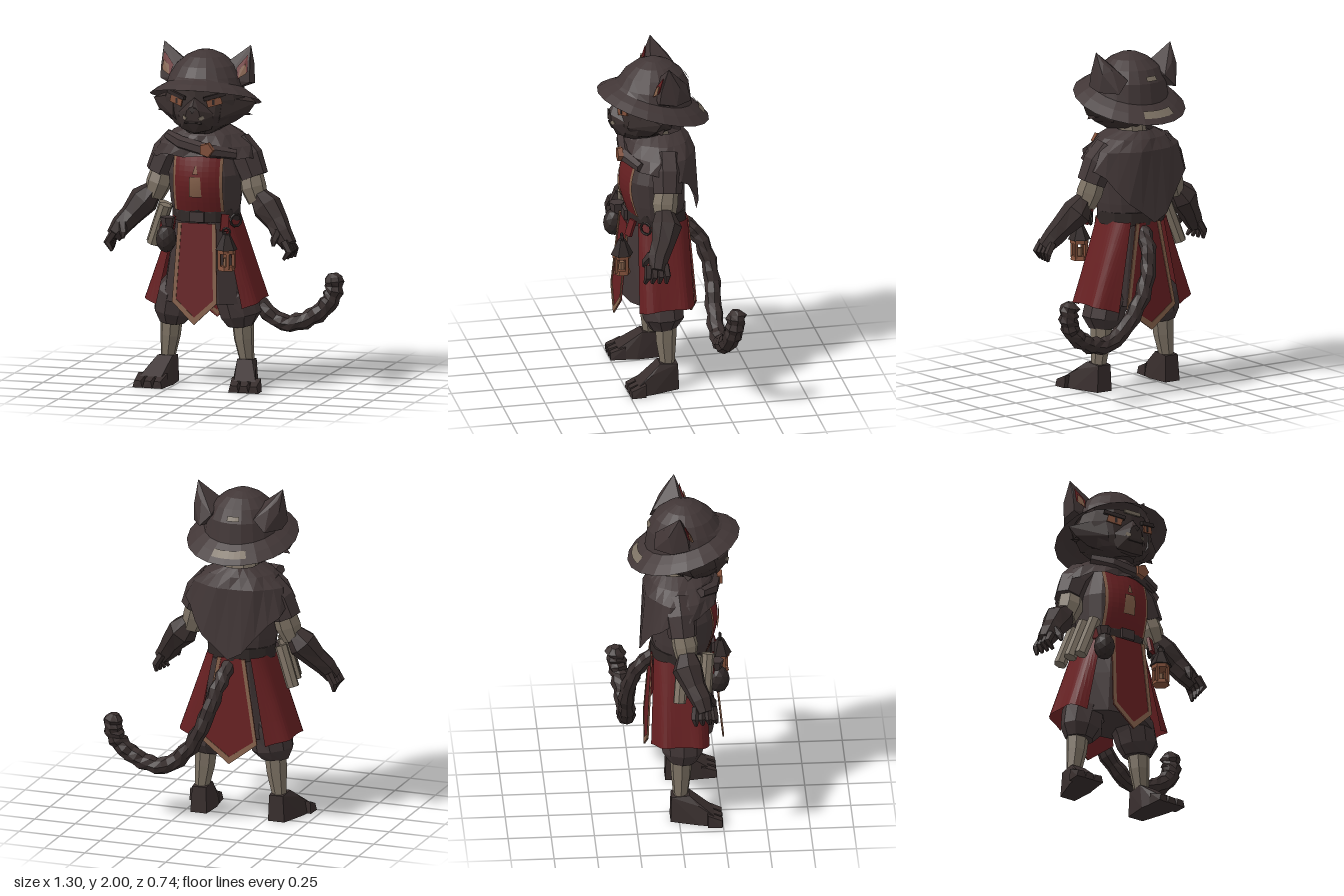
import * as THREE from 'three';
import { ConvexGeometry } from 'three/addons/geometries/ConvexGeometry.js';
import { ParametricGeometry } from 'three/addons/geometries/ParametricGeometry.js';

const mat = (name, color) =>
  new THREE.MeshStandardMaterial({ name, color, flatShading: true, side: THREE.DoubleSide });
const cloth = mat('dark cloth', 0x413636);
const fur = mat('dark fur', 0x382e2d);
const black = mat('shadow brown', 0x302827);
const red = mat('red cloth', 0x661f21);
const trim = mat('tan trim', 0x84604a);
const wrap = mat('linen wrap', 0x7d7264);
const leather = mat('orange leather', 0x83513b);

const V = (p) => new THREE.Vector3(p[0], p[1], p[2]);

// Closed skin over rings of equal point count, with both ends capped
function loft(rings) {
  const n = rings[0].length, pos = [], idx = [];
  rings.flat().forEach((p) => pos.push(p.x, p.y, p.z));
  for (let j = 0; j < rings.length - 1; j++)
    for (let i = 0; i < n; i++) {
      const a = j * n + i, b = j * n + (i + 1) % n;
      idx.push(a, b, a + n, b, b + n, a + n);
    }
  const last = (rings.length - 1) * n;
  for (let i = 1; i < n - 1; i++) idx.push(0, i + 1, i, last, last + i, last + i + 1);
  const g = new THREE.BufferGeometry();
  g.setAttribute('position', new THREE.Float32BufferAttribute(pos, 3));
  g.setIndex(idx);
  g.computeVertexNormals();
  return g;
}

// Limb through points [x, y, z, radius]
function limb(pts, n = 7, rough = 0) {
  return loft(pts.map((p, j) => {
    const t = V(pts[Math.min(j + 1, pts.length - 1)]).sub(V(pts[Math.max(j - 1, 0)])).normalize();
    const a = new THREE.Vector3().crossVectors(t, new THREE.Vector3(0, 0, 1)).normalize();
    const b = new THREE.Vector3().crossVectors(t, a);
    return Array.from({ length: n }, (_, i) => {
      const w = i / n * Math.PI * 2, r = p[3] * (1 + rough * Math.sin(i * 5.3 + j * 2.7));
      return V(p).addScaledVector(a, r * Math.cos(w)).addScaledVector(b, r * Math.sin(w));
    });
  }));
}

// Body shape from horizontal ellipses [y, half width, back z, front z]
const stack = (rows, n = 12) => loft(rows.map(([y, rx, zb, zf]) =>
  Array.from({ length: n }, (_, i) => {
    const w = i / n * Math.PI * 2;
    return new THREE.Vector3(rx * Math.sin(w), y, (zb + zf) / 2 + (zf - zb) / 2 * Math.cos(w));
  })));

const hull = (pts) => new ConvexGeometry(pts.map(V));
const sheet = (f, nu, nv) => new ParametricGeometry((u, v, t) => t.set(...f(u, v)), nu, nv);
const round = (x) => Math.sign(x) * Math.abs(x) ** 0.65;

export function createModel() {
  const root = new THREE.Group();
  root.name = 'catAdventurer';
  const body = new THREE.Group();
  body.name = 'body';
  body.position.x = -0.08;
  root.add(body);
  const add = (name, geo, m, p = [0, 0, 0], r = [0, 0, 0], parent = body) => {
    const o = new THREE.Mesh(geo, m);
    o.name = name;
    o.position.set(...p);
    o.rotation.set(...r);
    parent.add(o);
    return o;
  };
  const box = (x, y, z) => new THREE.BoxGeometry(x, y, z);
  const cyl = (a, b, h, n = 6) => new THREE.CylinderGeometry(a, b, h, n);

  // Head and muzzle
  add('head', stack([[1.5, 0.08, 0, 0.23], [1.55, 0.17, -0.05, 0.25], [1.61, 0.22, -0.11, 0.26],
    [1.7, 0.24, -0.14, 0.255], [1.78, 0.21, -0.13, 0.25]]), fur);
  const muzzle = [[0, 1.72, 0.265], [0, 1.675, 0.3], [0, 1.5, 0.2], [0, 1.51, 0.26]];
  for (const s of [-1, 1]) muzzle.push([s * 0.035, 1.65, 0.3], [s * 0.05, 1.59, 0.297],
    [s * 0.12, 1.62, 0.22], [s * 0.09, 1.53, 0.23]);
  add('muzzle', hull(muzzle), fur);
  add('nose', hull([[-0.025, 1.665, 0.305], [0.025, 1.665, 0.305], [0, 1.63, 0.31], [0, 1.67, 0.28]]), black);
  add('mouth', box(0.1, 0.008, 0.008), black, [0, 1.575, 0.293]);
  add('foreheadBand', box(0.11, 0.022, 0.01), wrap, [0, 1.768, 0.258]);

  // Hat: a lathe whose brim rises at the front while the crown stays level
  const lathe = (pts, n, a, l) => {
    const g = new THREE.LatheGeometry(pts.map((p) => new THREE.Vector2(...p)), n, a, l), q = g.attributes.position;
    for (let i = 0; i < q.count; i++) {
      const y = q.getY(i), z = q.getZ(i);
      q.setXYZ(i, q.getX(i), y + 0.286 * z * THREE.MathUtils.clamp((1.83 - y) / 0.07, 0, 1), z + 0.043);
    }
    return g;
  };
  add('hat', lathe([[0.325, 1.685], [0.275, 1.725], [0.225, 1.757], [0.209, 1.82], [0.17, 1.885],
    [0.11, 1.935], [0.05, 1.962], [0, 1.97]], 20), cloth);
  add('brimPatch', lathe([[0.3, 1.712], [0.265, 1.74]], 6, Math.PI - 0.3, 0.72), wrap);
  add('crownPatch', lathe([[0.212, 1.828], [0.197, 1.852]], 3, Math.PI - 0.1, 0.35), wrap);

  for (const s of [-1, 1]) {
    const m = (pts) => pts.map(([x, y, z, r]) => [x * s, y, z, r]);
    // Ears, eyes and cheeks
    add('ear', hull(m([[0.262, 2, 0.005], [0.27, 1.79, 0.06], [0.125, 1.8, 0.075], [0.13, 1.9, 0.03],
      [0.17, 1.74, 0.06], [0.2, 1.77, -0.14], [0.13, 1.84, -0.13], [0.268, 1.86, 0.05], [0.262, 1.92, 0.035],
      [0.262, 1.88, -0.06], [0.272, 1.77, -0.04], [0.21, 1.9, -0.085], [0.245, 1.94, -0.045]])), cloth);
    const earPlate = (name, pts, mt) => add(name, hull(m(pts)), mt);
    earPlate('innerEar', [[0.252, 1.945, 0.035], [0.258, 1.85, 0.064], [0.205, 1.81, 0.084],
      [0.19, 1.87, 0.06], [0.22, 1.87, 0.03]], red);
    earPlate('earFluff', [[0.25, 1.9, 0.06], [0.253, 1.84, 0.074], [0.21, 1.815, 0.088], [0.215, 1.87, 0.07], [0.23, 1.85, 0.05]], trim);
    add('eye', box(0.088, 0.04, 0.008), leather, [s * 0.115, 1.695, 0.247], [0, s * 0.42, s * 0.25]);
    add('pupil', box(0.014, 0.03, 0.008), black, [s * 0.11, 1.695, 0.252], [0, s * 0.42, 0]);
    add('brow', box(0.13, 0.022, 0.02), black, [s * 0.115, 1.73, 0.245], [0, s * 0.42, s * 0.25]);
    add('whiskerPad', box(0.03, 0.02, 0.008), wrap, [s * 0.05, 1.605, 0.291], [0, s * 0.6, s * 0.5]);
    add('cheek', hull(m([[0.31, 1.675, 0.06], [0.275, 1.62, 0.08], [0.2, 1.565, 0.1], [0.1, 1.52, 0.17],
      [0.15, 1.72, 0.2], [0.14, 1.6, 0.225], [0.2, 1.72, -0.04], [0.16, 1.58, -0.03]])), fur);
    add('cheekTuft', hull(m([[0.29, 1.6, 0.05], [0.2, 1.65, 0.14], [0.19, 1.6, 0.12], [0.18, 1.62, 0]])), fur);

    // Arm: sleeve, elbow wrap, forearm and fingers
    add('sleeve', limb(m([[0.17, 1.42, 0, 0.09], [0.24, 1.34, 0.01, 0.095], [0.285, 1.23, 0.02, 0.085]])), cloth);
    add('elbowWrap', limb(m([[0.265, 1.25, 0.02, 0.07], [0.285, 1.17, 0.035, 0.077], [0.315, 1.09, 0.04, 0.06]])), wrap);
    add('forearm', limb(m([[0.315, 1.13, 0.04, 0.055], [0.37, 1.065, 0.045, 0.09], [0.44, 0.98, 0.08, 0.068],
      [0.485, 0.92, 0.115, 0.062], [0.53, 0.86, 0.135, 0.048]]), 7, 0.05), fur);
    for (let i = 0; i < 4; i++)
      add('finger', limb(m([[0.515, 0.89, 0.08 + i * 0.033, 0.024], [0.55, 0.83, 0.075 + i * 0.038, 0.023],
        [0.548 - i * 0.01, 0.785, 0.08 + i * 0.04, 0.01]]), 5), fur);
    add('thumb', limb(m([[0.47, 0.94, 0.15, 0.028], [0.455, 0.89, 0.185, 0.022], [0.455, 0.86, 0.195, 0.009]]), 5), fur);

    // Leg: puffed trousers, wrapped calf and foot
    add('trouserLeg', limb(m([[0.11, 0.62, 0.02, 0.11], [0.18, 0.52, 0.025, 0.125], [0.2, 0.42, 0.025, 0.122],
      [0.205, 0.36, 0.02, 0.08]]), 9, 0.05), cloth);
    add('calfWrap', limb(m([[0.215, 0.38, 0.015, 0.066], [0.222, 0.28, 0.015, 0.06], [0.24, 0.14, 0.01, 0.042]]), 7), wrap);
    add('foot', hull(m([[0.195, 0.165, 0.06], [0.285, 0.165, 0.06], [0.195, 0.155, -0.045], [0.28, 0.155, -0.045],
      [0.19, 0, -0.05], [0.29, 0, -0.05], [0.18, 0, 0.1], [0.345, 0, 0.12], [0.2, 0, 0.2], [0.36, 0, 0.2],
      [0.22, 0.06, 0.2], [0.35, 0.06, 0.2], [0.215, 0.115, 0.11], [0.32, 0.115, 0.11]])), fur);
    for (const x of [0.22, 0.28, 0.34])
      add('toe', hull(m([[x - 0.03, 0, 0.16], [x + 0.035, 0, 0.16], [x - 0.025, 0.075, 0.16], [x + 0.03, 0.075, 0.16],
        [x - 0.02, 0, 0.25], [x + 0.04, 0, 0.245], [x - 0.01, 0.04, 0.25], [x + 0.03, 0.04, 0.245]])), fur);

    // Flared red side panel of the skirt
    add('skirtPanel', sheet((u, v) => {
      const a = 0.72 + 1.93 * u, f = 1 + 0.03 * v * Math.sin(a * 7);
      return [s * (0.185 + 0.165 * v) * f * round(Math.sin(a)), 1 - (0.48 + 0.04 * (2 * u - 1) ** 2) * v,
        0.02 + (0.17 + 0.025 * v) * f * round(Math.cos(a))];
    }, 18, 4), red);
  }

  // Torso, chest panel and neck
  add('neckWrap', cyl(0.1, 0.12, 0.12, 9), wrap, [0, 1.49, 0.06]);
  add('torso', stack([[0.96, 0.19, -0.13, 0.19], [1.1, 0.21, -0.14, 0.21], [1.25, 0.22, -0.14, 0.225], [1.45, 0.15, -0.1, 0.16]], 16), cloth);
  const chest = (name, x0, x1, y0, y1, off, m, taper = 1) => add(name, sheet((u, v) => {
    const x = (x0 + (x1 - x0) * u) * (1 - v * (1 - taper)), y = y0 + (y1 - y0) * v;
    return [x, y, 0.2 + off + 0.04 * Math.sin((y - 1.04) / 0.36 * Math.PI) - x * x * 1.9];
  }, 8, 12), m);
  chest('chestPanel', -0.145, 0.145, 1.04, 1.4, 0, red);
  for (const s of [-1, 1]) chest('chestTrim', s * 0.133, s * 0.15, 1.04, 1.4, 0.004, trim);
  chest('candlePatch', -0.043, 0.034, 1.13, 1.25, 0.008, trim, 0.85);
  chest('flamePatch', -0.02, 0.012, 1.265, 1.315, 0.008, trim, 0.25);

  // Hooded cape: short at the front, pointed at the back
  const rows = [[0.11, 0.15, 0.12, 1.53], [0.2, 0.195, 0.16, 1.485], [0.28, 0.225, 0.19, 1.42], [0.32, 0.24, 0.215, 0]];
  add('cape', sheet((u, v) => {
    const a = u * Math.PI * 2, c = Math.cos(a), j = Math.round(v * 3), [rx, zf, zb, y] = rows[j];
    const f = 1 + 0.03 * Math.sin(u * 16 * Math.PI + j * 2);
    const hem = c > 0.01 ? 1.37 - 0.04 * (1 - c) : 1 + 0.32 * Math.abs(Math.sin(a)) ** 1.3;
    return [rx * f * Math.sin(a), y || hem + 0.01 * Math.sin(u * 14 * Math.PI), (c > 0 ? zf : zb) * f * c];
  }, 24, 3), cloth);
  add('cowlFold', limb([[-0.2, 1.47, 0.13, 0.03], [-0.1, 1.44, 0.2, 0.04], [0.07, 1.405, 0.225, 0.04], [0.22, 1.38, 0.16, 0.03]], 6), cloth);
  add('brooch', cyl(0.042, 0.046, 0.03, 5), leather, [0.07, 1.415, 0.255], [Math.PI / 2, 0.3, 0]);

  // Belt and under-skirt
  add('belt', stack([[0.975, 0.205, -0.15, 0.205], [1.05, 0.205, -0.15, 0.205]]), black);
  add('buckle', box(0.085, 0.06, 0.02), cloth, [0, 1.012, 0.212]);
  add('underSkirt', stack([[0.5, 0.26, -0.13, 0.225], [0.75, 0.22, -0.13, 0.215], [0.98, 0.18, -0.13, 0.195]]), cloth);

  // Pointed tabards, front and back: red plate with a raised tan border
  const tabard = (name, w0, w1, low, tip, p, r) => {
    const outline = (d, e) => [[-w0 + d, 0], [-w1 + d, low + d * 0.7], [0, tip + e], [w1 - d, low + d * 0.7], [w0 - d, 0]]
      .map((q) => new THREE.Vector2(...q));
    const plate = (shape, depth) => new THREE.ExtrudeGeometry(shape, { depth, bevelEnabled: false });
    const border = new THREE.Shape([...outline(0, 0), ...outline(0.023, 0.043).reverse()]);
    add(name, plate(new THREE.Shape(outline(0, 0)), 0.006), red, p, r);
    add(name + 'Trim', plate(border, 0.01), trim, p, r);
  };
  tabard('frontTabard', 0.115, 0.135, -0.46, -0.59, [0, 0.975, 0.21], [-0.1, 0, 0]);
  tabard('backTabard', 0.085, 0.17, -0.5, -0.63, [0, 0.99, -0.14], [0.06, Math.PI, 0]);

  // Lantern
  const lantern = new THREE.Group();
  lantern.name = 'lantern';
  lantern.position.set(0.195, 0.72, 0.268);
  body.add(lantern);
  const L = (n, g, m, p, r) => add(n, g, m, p, r, lantern);
  L('lanternBase', cyl(0.045, 0.052, 0.025), leather, [0, 0.012, 0]);
  L('lanternRing', cyl(0.054, 0.054, 0.025), leather, [0, 0.11, 0]);
  L('lanternCap', cyl(0.022, 0.066, 0.09), black, [0, 0.165, 0]);
  L('lanternLoop', new THREE.TorusGeometry(0.022, 0.007, 4, 8), black, [0, 0.225, 0]);
  L('candle', cyl(0.018, 0.02, 0.05), trim, [0, 0.045, 0]);
  for (let i = 0; i < 4; i++) {
    const a = i * Math.PI / 2 + 0.5;
    L('lanternPost', box(0.017, 0.1, 0.017), leather, [0.042 * Math.sin(a), 0.06, 0.042 * Math.cos(a)]);
  }
  add('lanternStrap', box(0.045, 0.1, 0.02), red, [0.165, 0.985, 0.21], [-0.3, 0.5, 0]);
  add('ropeLoop', new THREE.TorusGeometry(0.035, 0.008, 5, 10), black, [0.21, 0.99, 0.13], [0, 0.8, 0]);

  // Pouch and scrolls
  add('pouch', new THREE.IcosahedronGeometry(0.075, 1), black, [-0.18, 0.88, 0.235]).scale.set(0.8, 1.1, 0.85);
  add('pouchNeck', cyl(0.045, 0.03, 0.07), cloth, [-0.175, 0.97, 0.22]);
  add('pouchStrap', box(0.04, 0.06, 0.02), red, [-0.215, 0.965, 0.19], [0, -0.6, 0]);
  for (const [x, y, z] of [[-0.245, 0.95, 0.16], [-0.27, 0.95, 0.09], [-0.285, 0.93, 0.01]])
    add('scroll', cyl(0.038, 0.038, 0.25, 7), wrap, [x, y, z], [0.1, 0, -0.34]);

  // Tail: a shaggy curve sweeping to the left side
  const curve = new THREE.CatmullRomCurve3([[0.02, 0.95, -0.12], [0.05, 0.84, -0.22], [0.11, 0.65, -0.275], [0.22, 0.45, -0.27],
    [0.37, 0.335, -0.265], [0.52, 0.36, -0.27], [0.635, 0.45, -0.285], [0.67, 0.54, -0.3], [0.66, 0.63, -0.31]].map(V));
  const tail = curve.getPoints(28).map((p, i) => [p.x, p.y, p.z, i === 28 ? 0.025 : 0.043 + 0.013 * i / 28]);
  add('tail', limb(tail, 8, 0.15), fur);
  return root;
}
